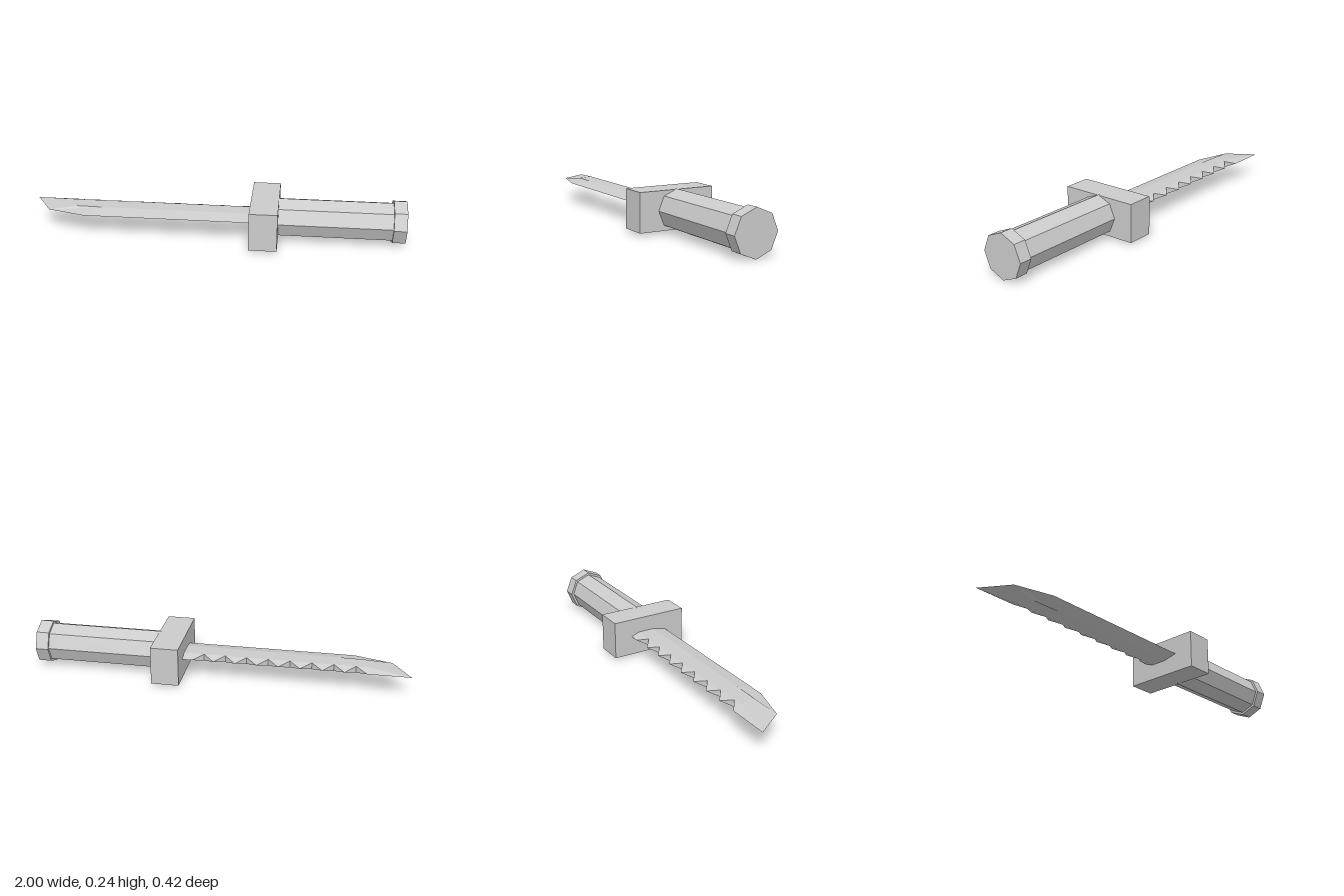
import * as THREE from 'three';

const MID = 0.119;      // height of the long axis
const HALF = 0.0185;    // half the blade thickness

const material = new THREE.MeshStandardMaterial({ color: 0xcccccc, flatShading: true });

function addMesh(group, name, geometry, x, y) {
  const mesh = new THREE.Mesh(geometry, material);
  mesh.name = name;
  mesh.position.set(x, y, 0);
  group.add(mesh);
}

// Eight-sided bar along x, with corners at top and bottom
function octagonBar(radius, length) {
  return new THREE.CylinderGeometry(radius, radius, length, 8).rotateZ(Math.PI / 2);
}

function bladeGeometry() {
  const positions = [];
  // Adds a triangle wound so that it faces along dir
  const face = (a, b, c, dir) => {
    const n = b.clone().sub(a).cross(c.clone().sub(a));
    const corners = n.dot(dir) >= 0 ? [a, b, c] : [a, c, b];
    corners.forEach((p) => positions.push(p.x, p.y, p.z));
  };
  const flip = (p) => new THREE.Vector3(p.x, -p.y, p.z);
  const up = new THREE.Vector3(0, 1, 0);
  const down = new THREE.Vector3(0, -1, 0);
  const back = new THREE.Vector3(0, 0, -1);
  // Fan of triangles on the upper side, mirrored below
  const both = (...pts) => {
    for (let i = 1; i < pts.length - 1; i++) {
      const t = [pts[0], pts[i], pts[i + 1]];
      face(...t, up);
      face(...t.map(flip), down);
    }
  };
  const edge = (x, z) => new THREE.Vector3(x, 0, z);
  const flat = (x, z) => new THREE.Vector3(x, HALF, z);

  const END = 0.2, SPINE = -0.11, NOTCH = -0.065;
  const tip = edge(-1, SPINE), belly1 = edge(-0.9, 0.045), belly2 = edge(-0.7, 0.102);
  const flatBack = flat(-0.775, NOTCH), flatFront = flat(-0.75, 0.022), ridge = flat(-0.6, 0.025);
  const ridgeEnd = flat(END, 0.025), spineEnd = flat(END, NOTCH);

  // Flat side, tip facets and cutting bevel
  both(ridge, flatFront, flatBack, spineEnd, ridgeEnd);
  both(tip, belly1, flatFront, flatBack);
  both(belly1, belly2, ridge, flatFront);
  both(belly2, edge(END, 0.102), ridgeEnd, ridge);

  // Saw teeth: bevelled peaks separated by V notches
  const TEETH = 8, PITCH = 0.114;
  let peak = edge(-0.775, SPINE);
  both(tip, peak, flatBack);
  let previous = flatBack;
  for (let i = 0; i < TEETH; i++) {
    const valley = flat(-0.717 + i * PITCH, NOTCH);
    const next = edge(-0.66 + i * PITCH, SPINE);
    both(previous, peak, valley);
    face(peak, valley, flip(valley), back);
    face(next, valley, flip(valley), back);
    previous = valley;
    peak = next;
  }
  both(previous, peak, edge(END, SPINE), spineEnd);

  const geometry = new THREE.BufferGeometry();
  geometry.setAttribute('position', new THREE.Float32BufferAttribute(positions, 3));
  geometry.computeVertexNormals();
  return geometry;
}

export function createModel() {
  const group = new THREE.Group();
  group.name = 'knife';
  addMesh(group, 'blade', bladeGeometry(), 0, 0.121);
  addMesh(group, 'guard', new THREE.BoxGeometry(0.147, 0.205, 0.422), 0.263, MID);
  addMesh(group, 'grip', octagonBar(0.105, 0.61), 0.63, MID);
  addMesh(group, 'pommel', octagonBar(0.118, 0.068), 0.966, MID);
  return group;
}
